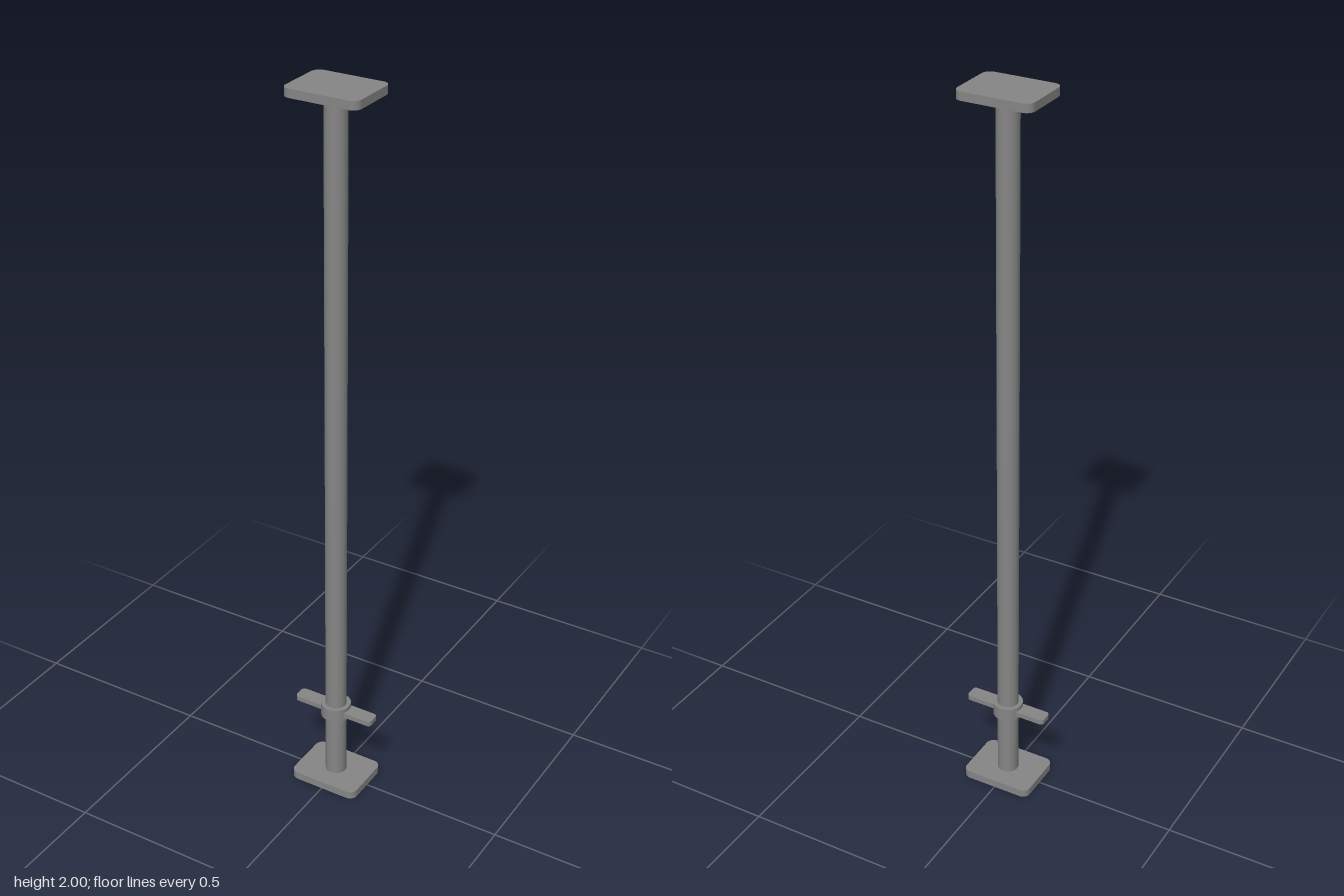
import * as THREE from 'three';

const material = new THREE.MeshStandardMaterial({ color: 0x868686 });

// Flat slab in the xz plane with rounded corners, its underside at y = 0
function roundedSlab(width, depth, height, radius) {
  const x = width / 2, z = depth / 2, r = radius;
  const s = new THREE.Shape();
  s.absarc(x - r, z - r, r, 0, Math.PI / 2);
  s.absarc(-x + r, z - r, r, Math.PI / 2, Math.PI);
  s.absarc(-x + r, -z + r, r, Math.PI, Math.PI * 1.5);
  s.absarc(x - r, -z + r, r, Math.PI * 1.5, Math.PI * 2);
  s.closePath();
  return new THREE.ExtrudeGeometry(s, { depth: height, bevelEnabled: false, curveSegments: 6 })
    .rotateX(-Math.PI / 2);
}

export function createModel() {
  const prop = new THREE.Group();
  prop.name = 'supportProp';

  const add = (name, geometry, x, y) => {
    const mesh = new THREE.Mesh(geometry, material);
    mesh.name = name;
    mesh.position.set(x, y, 0);
    prop.add(mesh);
  };

  // End plates
  add('basePlate', roundedSlab(0.202, 0.156, 0.022, 0.022), 0, 0);
  add('topPlate', roundedSlab(0.202, 0.156, 0.022, 0.022), 0, 1.978);

  // Tube between the plates
  add('pole', new THREE.CylinderGeometry(0.029, 0.029, 1.96, 32), 0, 1);

  // Adjusting collar with a flat handle on either side
  add('collar', new THREE.CylinderGeometry(0.041, 0.041, 0.038, 32), 0, 0.23);
  for (const [name, side] of [['leftHandle', 1], ['rightHandle', -1]]) {
    add(name, roundedSlab(0.09, 0.042, 0.014, 0.01), side * 0.074, 0.224);
  }

  return prop;
}
